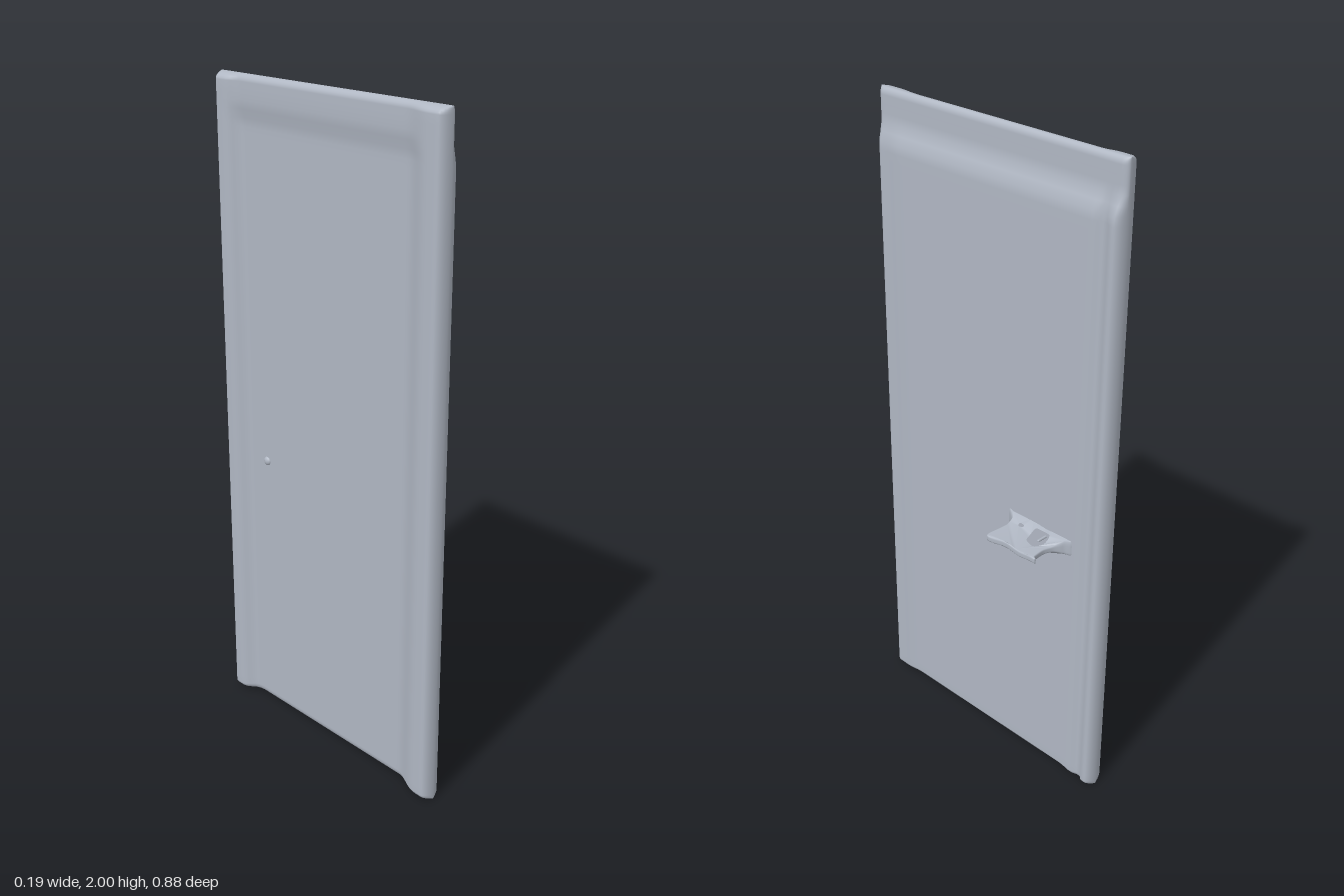
import * as THREE from 'three';
import { mergeVertices } from 'three/addons/utils/BufferGeometryUtils.js';

const W = 0.88, H = 2, MID = -0.06, R = 0.02;
const ss = THREE.MathUtils.smoothstep;

// Sample positions along a side: dense at the rounded ends, even between
function samples(length, step) {
  const ends = [0, 0.0006, 0.0025, 0.0055, 0.01, 0.015, 0.02];
  const n = Math.round((length - 0.04) / step);
  const list = [...ends];
  for (let i = 1; i < n; i++) list.push(0.02 + (length - 0.04) * i / n);
  return [...list, ...ends.slice().reverse().map(e => length - e)];
}

// Depth of the handle side: shallow head rail, faint border and side groove
function frontX(y, z) {
  let x = -0.025 - 0.006 * ss(z, 0.34, 0.41);
  x -= 0.012 * ss(-z, 0.36, 0.385) * (1 - ss(-z, 0.395, 0.41));
  return THREE.MathUtils.lerp(x, -0.046, ss(y, 1.85, 1.91));
}

// Depth of the other side: thick jambs and a slim head rail
function backX(y, z) {
  const jamb = Math.max(ss(z, 0.3, 0.39), ss(-z, 0.345, 0.39));
  const rail = -0.07 - 0.01 * ss(y, 1.87, 1.92);
  return THREE.MathUtils.lerp(rail, -0.096, jamb);
}

// Both faces of the slab meet in a rounded rim
function slabGeometry() {
  const us = samples(W, 0.0125), vs = samples(H, 0.025);
  const round = d => Math.sqrt(Math.max(0, 1 - (1 - Math.min(d / R, 1)) ** 2));
  const pos = [], index = [];
  for (const side of [1, -1]) {
    const base = pos.length / 3;
    us.forEach((u, i) => vs.forEach((v, j) => {
      const z = u - W / 2;
      const bottom = 0.004 + 0.014 * (1 - ss(Math.abs(z), 0.31, 0.4));
      const y = bottom + (H - bottom) * v / H;
      const r = round(Math.min(u, W - u)) * round(Math.min(v, H - v));
      const face = side > 0 ? frontX(y, z) : backX(y, z);
      pos.push(MID + (face - MID) * r, y, z);
      if (i && j) {
        const d = base + i * vs.length + j, c = d - 1, b = d - vs.length, a = b - 1;
        if (side > 0) index.push(a, b, c, b, d, c);
        else index.push(a, c, b, b, c, d);
      }
    }));
  }
  let g = new THREE.BufferGeometry();
  g.setAttribute('position', new THREE.Float32BufferAttribute(pos, 3));
  g.setIndex(index);
  g = mergeVertices(g, 1e-5);
  g.computeVertexNormals();
  return g;
}

const loop = (pts, Type) => new Type(
  new THREE.CatmullRomCurve3(pts.map(p => new THREE.Vector3(p[0], p[1], 0)), true, 'catmullrom', 0.4)
    .getPoints(pts.length * 5).slice(0, -1).map(p => new THREE.Vector2(p.x, p.y)));

// Flat pull plate with flared roots, drawn in x and z
function handleGeometry() {
  const shape = loop([
    [-0.035, -0.1], [-0.02, -0.107], [-0.008, -0.122], [0.03, -0.121], [0.088, -0.117],
    [0.09, -0.14], [0.085, -0.2], [0.087, -0.26], [0.088, -0.296], [0.08, -0.288],
    [0.04, -0.285], [0.01, -0.295], [-0.015, -0.315], [-0.035, -0.325],
  ], THREE.Shape);
  shape.holes.push(
    loop([[-0.012, -0.215], [0.01, -0.209], [0.034, -0.217], [0.043, -0.25], [0.025, -0.266], [-0.01, -0.264]], THREE.Path),
    loop([[-0.004, -0.155], [0.005, -0.157], [0.004, -0.174], [-0.002, -0.172]], THREE.Path));
  let g = new THREE.ExtrudeGeometry(shape, {
    depth: 0.008, bevelEnabled: true, bevelThickness: 0.005, bevelSize: 0.003, bevelSegments: 3,
  });
  g.translate(0, 0, -0.004);
  g.rotateX(Math.PI / 2);
  g.deleteAttribute('uv');
  g.deleteAttribute('normal');
  const p = g.attributes.position;
  for (let i = 0; i < p.count; i++) {
    const flare = 1 - ss(p.getX(i), -0.03, 0.02);
    const y = p.getY(i);
    p.setY(i, y * (1 + (y > 0 ? 2.6 : 1) * flare) + 0.003 * Math.sin(p.getZ(i) * 60));
  }
  g = mergeVertices(g, 1e-5);
  g.computeVertexNormals();
  return g;
}

export function createModel() {
  const group = new THREE.Group();
  group.name = 'door';
  const paint = new THREE.MeshStandardMaterial({ color: 0xb0b7c3 });
  paint.name = 'pale blue grey';
  const add = (name, geometry, x = 0, y = 0, z = 0) => {
    const mesh = new THREE.Mesh(geometry, paint);
    mesh.name = name;
    mesh.position.set(x, y, z);
    group.add(mesh);
    return mesh;
  };

  add('doorSlab', slabGeometry());
  add('handle', handleGeometry(), 0, 0.846, 0);

  // Short spindle inside the handle opening
  const spindle = add('spindle', new THREE.CapsuleGeometry(0.004, 0.03, 4, 10), -0.01, 0.846, -0.236);
  spindle.rotation.z = Math.PI / 2;

  // Small boss on the far side
  add('backBoss', new THREE.SphereGeometry(0.014, 16, 12), -0.068, 0.86, -0.27).scale.set(0.7, 1, 1);
  return group;
}
